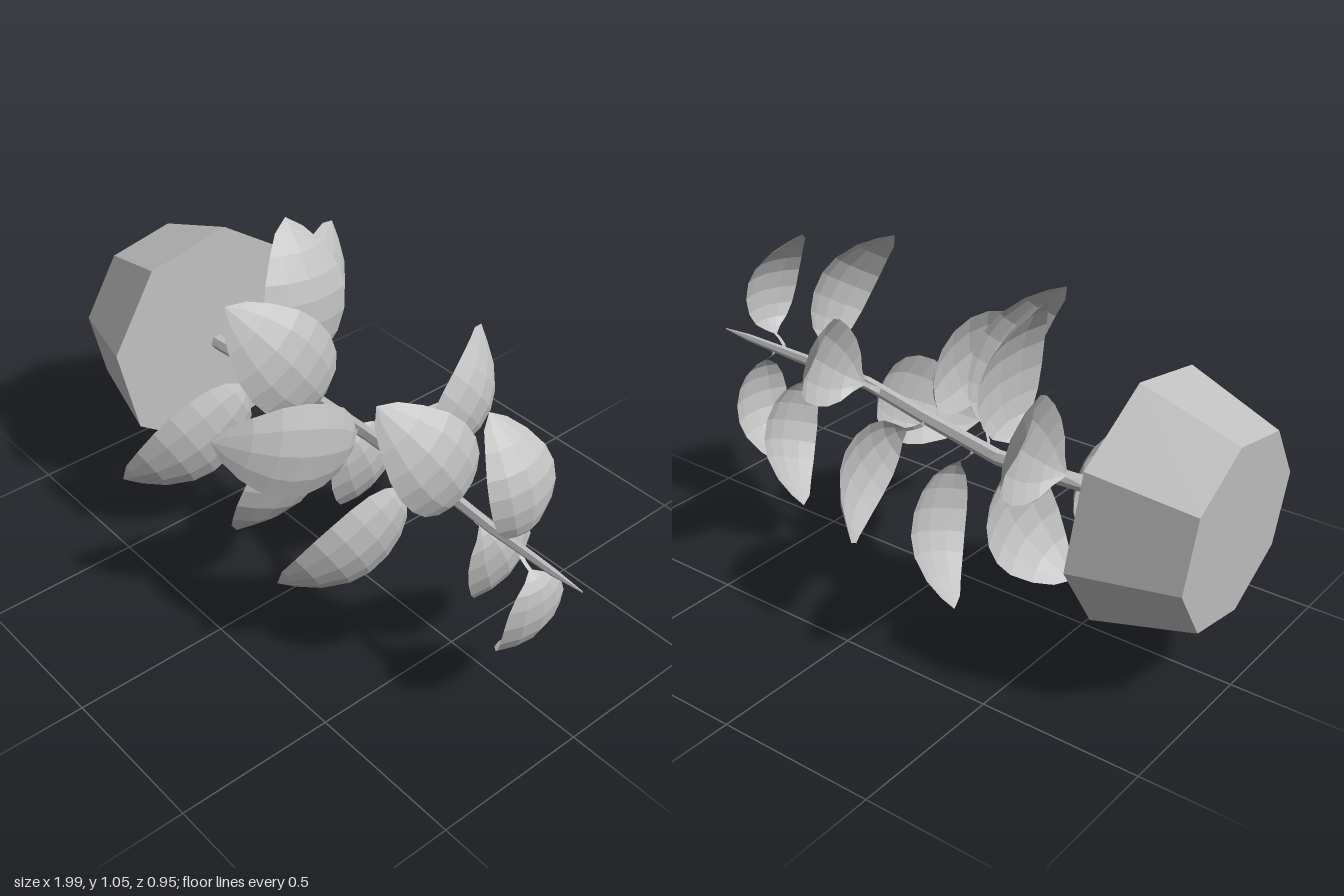
import * as THREE from 'three';

// Open surface through rows of points, every row the same length
function gridGeometry(rows) {
  const n = rows[0].length, index = [];
  for (let i = 0; i < rows.length - 1; i++) {
    for (let j = 0; j < n - 1; j++) {
      const a = i * n + j, b = a + 1, c = a + n, d = c + 1;
      index.push(a, b, c, b, d, c);
    }
  }
  const geo = new THREE.BufferGeometry().setFromPoints(rows.flat());
  geo.setIndex(index);
  geo.computeVertexNormals();
  return geo;
}

// Stem stations: x, y, z, radius
const STEM = [
  [-0.68, 0.497, -0.02, 0.025], [-0.22, 0.5, -0.055, 0.024],
  [0.08, 0.535, -0.03, 0.022], [0.33, 0.565, 0, 0.021],
  [0.65, 0.563, 0.02, 0.017], [0.88, 0.568, 0.028, 0.012], [0.99, 0.572, 0.03, 0.002],
];

function stemPoint(x) {
  const i = Math.max(1, STEM.findIndex((s) => s[0] >= x));
  const a = STEM[i - 1], b = STEM[i], k = (x - a[0]) / (b[0] - a[0]);
  return new THREE.Vector3(x, a[1] + (b[1] - a[1]) * k, a[2] + (b[2] - a[2]) * k);
}

// Blade stations: distance out, shift along the stem, half width
const BLADE = [
  [0.13, 0.045, 0.015], [0.17, 0.068, 0.085], [0.23, 0.086, 0.175], [0.33, 0.097, 0.245],
  [0.46, 0.1, 0.284], [0.6, 0.09, 0.288], [0.72, 0.066, 0.26], [0.85, 0.02, 0.185],
  [0.94, -0.03, 0.1], [1, -0.065, 0],
];

// Leaf tips in opposite pairs along the stem
const TIPS = [
  [-0.585, 0.84, -0.445], [-0.56, 0.23, 0.46],
  [-0.4, 1.05, -0.105], [-0.34, 0.003, 0.18],
  [-0.24, 0.95, 0.25], [-0.195, 0.055, -0.235],
  [-0.025, 0.695, 0.475], [-0.005, 0.33, -0.475],
  [0.19, 0.845, -0.37], [0.21, 0.3, 0.435],
  [0.425, 0.965, 0.255], [0.467, 0.155, -0.175],
  [0.643, 0.975, 0.06], [0.69, 0.15, 0],
];

function makeLeaf(tip, material) {
  const node = stemPoint(tip[0] + 0.065);
  const out = new THREE.Vector3(0, tip[1] - node.y, tip[2] - node.z);
  const r = out.length();
  out.normalize();
  const axis = new THREE.Vector3(1, 0, 0);
  const side = new THREE.Vector3().crossVectors(axis, out);
  const at = (t, dx, w = 0) => node.clone()
    .addScaledVector(out, t * r).addScaledVector(axis, dx).addScaledVector(side, w * r);

  // Blade cupped across its width and arched back to the tip
  const rows = BLADE.map(([t, dx, half]) => [-1, -0.55, 0, 0.55, 1].map(
    (s) => at(t, dx - 0.036 * s * s * half / 0.288, s * half)));
  const blade = new THREE.Mesh(gridGeometry(rows), material);
  blade.name = 'leafBlade';

  // Flat ribbon stalk joining blade and stem
  const ribbon = [[0, 0, 0.022], [0.06, 0.008, 0.018], [0.1, 0.025, 0.015], [0.13, 0.045, 0.015]];
  const stalk = new THREE.Mesh(
    gridGeometry(ribbon.map(([t, dx, half]) => [at(t, dx, -half), at(t, dx, half)])), material);
  stalk.name = 'leafStalk';

  const leaf = new THREE.Group();
  leaf.name = 'leaf';
  leaf.add(blade, stalk);
  return leaf;
}

export function createModel() {
  const group = new THREE.Group();
  group.name = 'fallenPottedPlant';
  const grey = new THREE.MeshStandardMaterial({ color: 0xc0c0c0, flatShading: true, side: THREE.DoubleSide });
  grey.name = 'plainGrey';

  // Eight-sided pot lying on its side
  const potGeo = new THREE.CylinderGeometry(0.384, 0.294, 0.306, 8, 1, false, THREE.MathUtils.degToRad(32.7));
  potGeo.rotateZ(-Math.PI / 2 + 0.06);
  const pot = new THREE.Mesh(potGeo, grey);
  pot.name = 'pot';
  pot.position.set(-0.83, 0.51, -0.01);
  group.add(pot);

  // Tapered six-sided stem
  const rings = STEM.map(([x, y, z, r]) => Array.from({ length: 7 }, (_, j) => {
    const a = j * Math.PI / 3;
    return new THREE.Vector3(x, y + r * Math.sin(a), z + r * Math.cos(a));
  }));
  const stem = new THREE.Mesh(gridGeometry(rings), grey);
  stem.name = 'stem';
  group.add(stem);

  for (const tip of TIPS) group.add(makeLeaf(tip, grey));
  return group;
}
